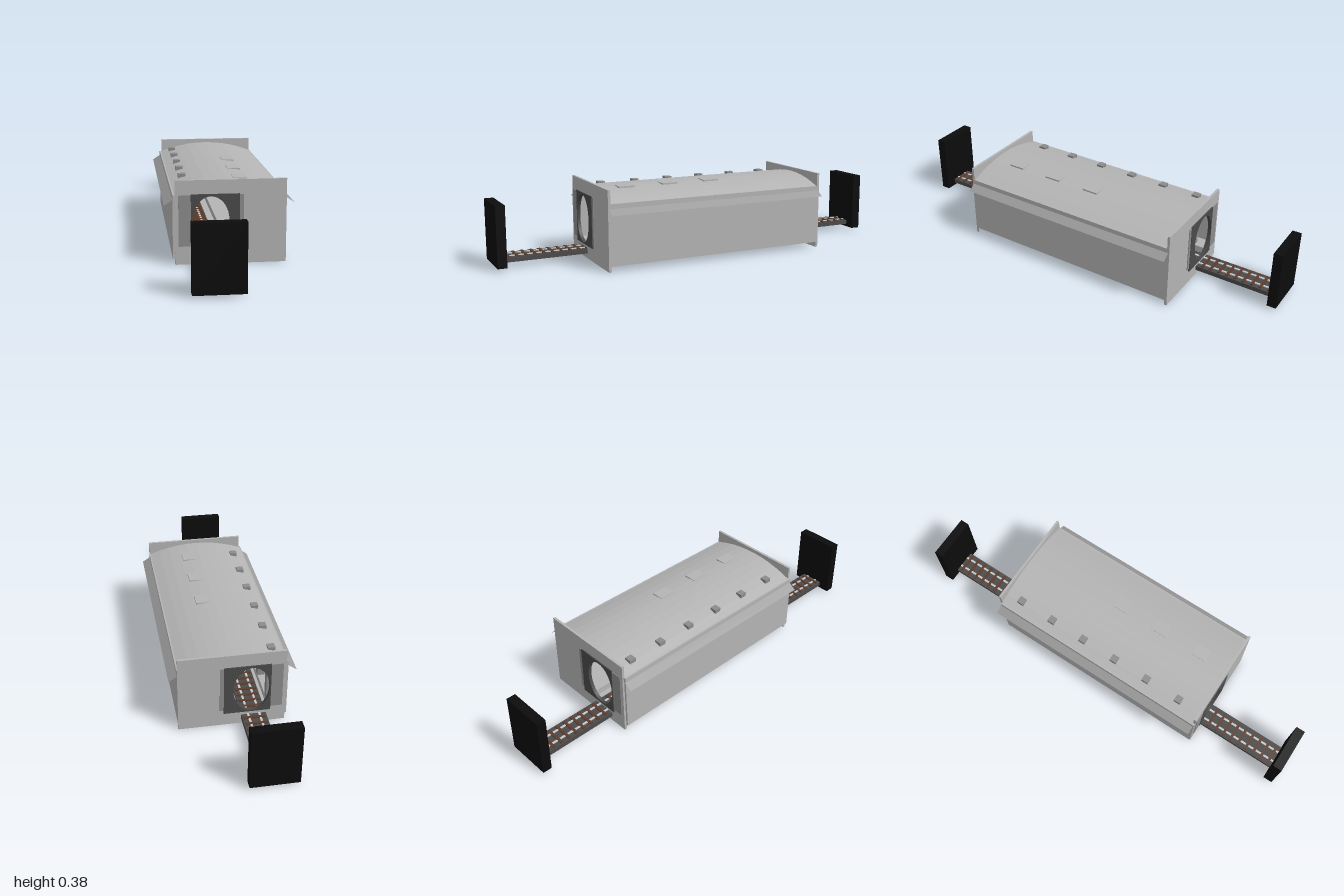
import * as THREE from 'three';

const mat = (name, color, side = THREE.FrontSide) => {
  const m = new THREE.MeshStandardMaterial({ color, side });
  m.name = name;
  return m;
};

export function createModel() {
  const stone = mat('light grey stone', 0xb4b4b4);
  const trim = mat('mid grey trim', 0x8c8c8c);
  const eaveGrey = mat('eave grey', 0x9c9c9c, THREE.DoubleSide);
  const dark = mat('dark grey', 0x4a4a4a);
  const black = mat('black', 0x0c0c0c);
  const brown = mat('brown wood', 0x5c3b2c);
  const steel = mat('pale steel', 0xc8c8c8);

  const model = new THREE.Group();
  model.name = 'stationHall';
  const add = (name, geometry, material) => {
    const mesh = new THREE.Mesh(geometry, material);
    mesh.name = name;
    model.add(mesh);
    return mesh;
  };
  // box given by its limits on each axis
  const box = (name, material, x0, x1, y0, y1, z0, z1) => {
    const mesh = add(name, new THREE.BoxGeometry(x1 - x0, y1 - y0, z1 - z0), material);
    mesh.position.set((x0 + x1) / 2, (y0 + y1) / 2, (z0 + z1) / 2);
    return mesh;
  };
  const rect = (C, x0, x1, y0, y1) => {
    const s = new C();
    s.moveTo(x0, y0);
    s.lineTo(x1, y0);
    s.lineTo(x1, y1);
    s.lineTo(x0, y1);
    s.closePath();
    return s;
  };
  const slab = (name, shape, depth, z, material) => {
    const g = new THREE.ExtrudeGeometry(shape, { depth, bevelEnabled: false, curveSegments: 24 });
    add(name, g, material).position.z = z;
  };

  const zBack = -0.565, zFront = 0.556, wall = 0.012;

  // Floor and side walls
  box('floor', stone, -0.25, 0.25, 0.028, 0.034, zBack + 0.01, zFront - 0.01);
  box('rightWall', stone, -0.25, -0.24, 0.026, 0.312, zBack + 0.01, zFront - 0.001);
  box('leftWall', stone, 0.24, 0.25, 0.026, 0.312, zBack + 0.01, zFront - 0.01);

  // Curved roof shell
  const R = 0.665, cy = -0.307, half = 0.374, steps = 10;
  const roof = new THREE.Shape();
  for (let i = 0; i <= steps; i++) {
    const a = half - (2 * half * i) / steps;
    roof[i ? 'lineTo' : 'moveTo'](R * Math.sin(a), cy + R * Math.cos(a));
  }
  for (let i = 0; i <= steps; i++) {
    const a = -half + (2 * half * i) / steps;
    roof.lineTo((R - 0.008) * Math.sin(a), cy + (R - 0.008) * Math.cos(a));
  }
  roof.closePath();
  slab('roof', roof, zFront - zBack - 0.016, zBack + 0.008, stone);

  // Low roof hatches
  for (const z of [0.4, 0.18, -0.04]) box('roofHatch', stone, 0.03, 0.09, 0.345, 0.3595, z - 0.04, z + 0.04);

  // Sloping eaves along both sides
  for (const s of [-1, 1]) {
    const eave = add('eave', new THREE.PlaneGeometry(0.045, zFront - zBack - 0.012), eaveGrey);
    eave.rotation.order = 'ZXY';
    eave.rotation.set(-Math.PI / 2, 0, -s * Math.atan2(0.025, 0.037));
    eave.position.set(s * 0.2685, 0.2775, (zFront + zBack) / 2);
  }

  // Gable walls, portal frames and pilasters at both ends
  for (const s of [1, -1]) {
    const face = s > 0 ? zFront : zBack;
    const place = (name, shape, depth, out, material) =>
      slab(name, shape, depth, s > 0 ? face + out - depth : face - out, material);

    const gable = rect(THREE.Shape, -0.24, 0.25, 0, 0.376);
    gable.holes.push(rect(THREE.Path, -0.169, 0.042, 0.066, 0.312));
    place('gableWall', gable, wall, 0, stone);

    const portal = rect(THREE.Shape, -0.171, 0.043, 0.065, 0.314);
    const hole = new THREE.Path();
    hole.absellipse(-0.083, 0.188, 0.083, 0.116, 0, Math.PI * 2, true);
    portal.holes.push(hole);
    place('portalFrame', portal, 0.016, 0.005, dark);

    place('pilaster', rect(THREE.Shape, -0.225, -0.171, 0.082, 0.31), 0.006, 0.003, trim);
    place('pilaster', rect(THREE.Shape, 0.043, 0.061, 0.082, 0.31), 0.006, 0.003, trim);
  }

  // Platforms and the columns that rise through the roof
  box('platform', stone, 0.0, 0.216, 0.034, 0.066, zBack + wall, zFront - wall);
  box('platform', stone, -0.24, -0.17, 0.034, 0.066, zBack + wall, zFront - wall);
  for (let i = 0; i < 6; i++) {
    const z = 0.43 - i * 0.18;
    box('column', trim, -0.204, -0.17, 0.066, 0.345, z - 0.017, z + 0.017);
  }

  // Track bed, rails and sleepers
  box('trackBed', dark, -0.152, -0.038, 0.025, 0.047, -0.96, 0.96);
  for (const x of [-0.121, -0.069]) box('rail', steel, x - 0.005, x + 0.005, 0.047, 0.051, -0.955, 0.955);
  for (let i = 0; i < 45; i++) {
    const z = (i - 22) * 0.0425;
    box('sleeper', brown, -0.145, -0.045, 0.046, 0.052, z - 0.007, z + 0.007);
  }

  // Black end blocks
  for (const s of [-1, 1]) box('endBlock', black, -0.205, 0.013, 0.012, 0.302, s * 0.978 - 0.022, s * 0.978 + 0.022);

  return model;
}
